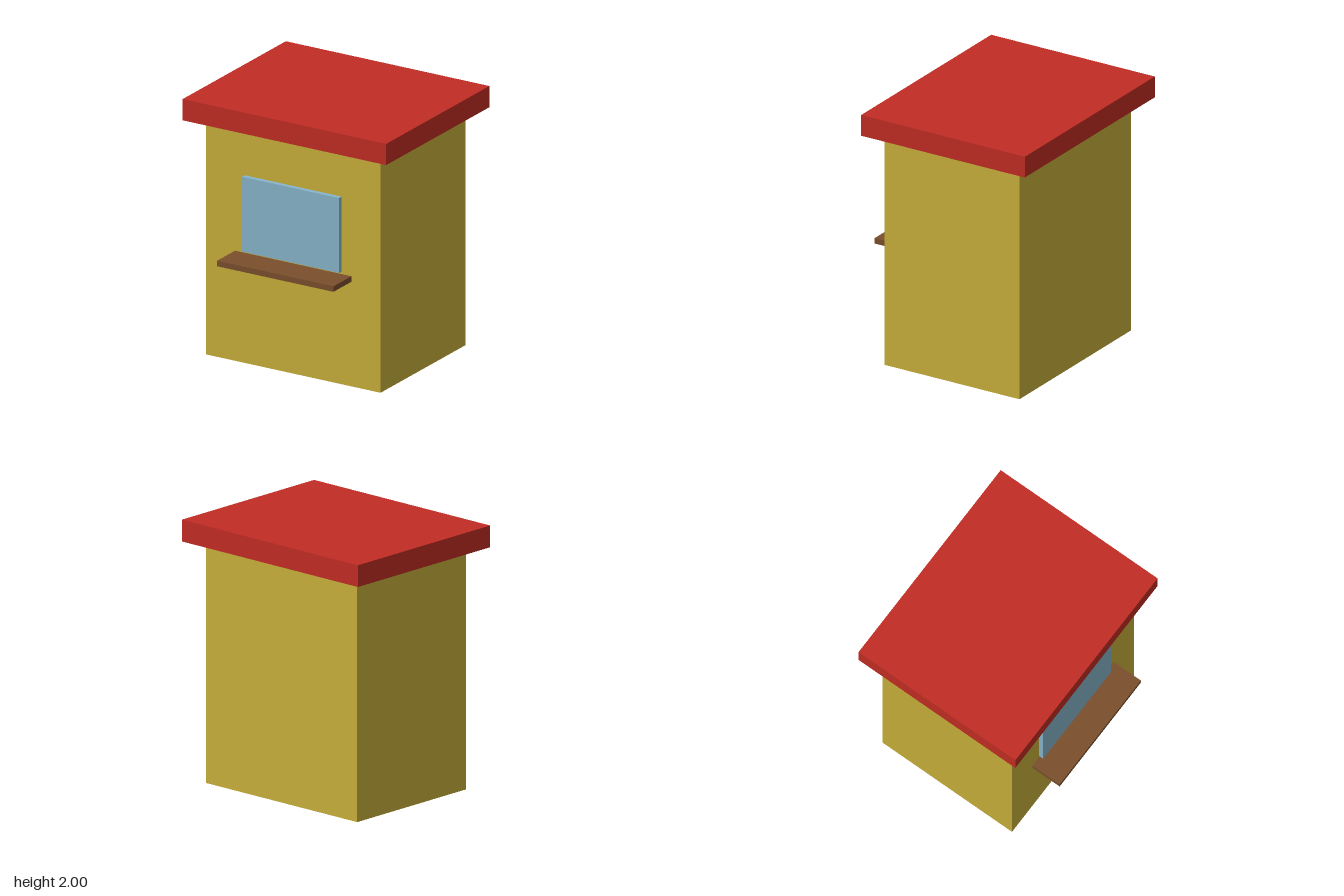
import * as THREE from 'three';

const material = (name, color) => {
  const m = new THREE.MeshStandardMaterial({ color });
  m.name = name;
  return m;
};

// Box given by its width (centred on x) and its y and z ranges
function block(name, mat, width, [y0, y1], [z0, z1]) {
  const mesh = new THREE.Mesh(new THREE.BoxGeometry(width, y1 - y0, z1 - z0), mat);
  mesh.name = name;
  mesh.position.set(0, (y0 + y1) / 2, (z0 + z1) / 2);
  return mesh;
}

export function createModel() {
  const yellow = material('yellow wall', 0xc9b03b);
  const red = material('red roof', 0xc22d24);
  const blue = material('blue glass', 0x87b5cb);
  const brown = material('brown wood', 0x7b4f2c);

  const kiosk = new THREE.Group();
  kiosk.name = 'kiosk';
  const front = 0.525;

  kiosk.add(
    // Walls and overhanging flat roof
    block('walls', yellow, 1.5, [0, 1.835], [-0.643, front]),
    block('roof', red, 1.75, [1.835, 2], [-0.77, 0.647]),
    // Serving window with its counter shelf
    block('window', blue, 0.833, [0.877, 1.46], [front, 0.562]),
    block('counter', brown, 1, [0.814, 0.857], [front, 0.772]),
  );
  return kiosk;
}
